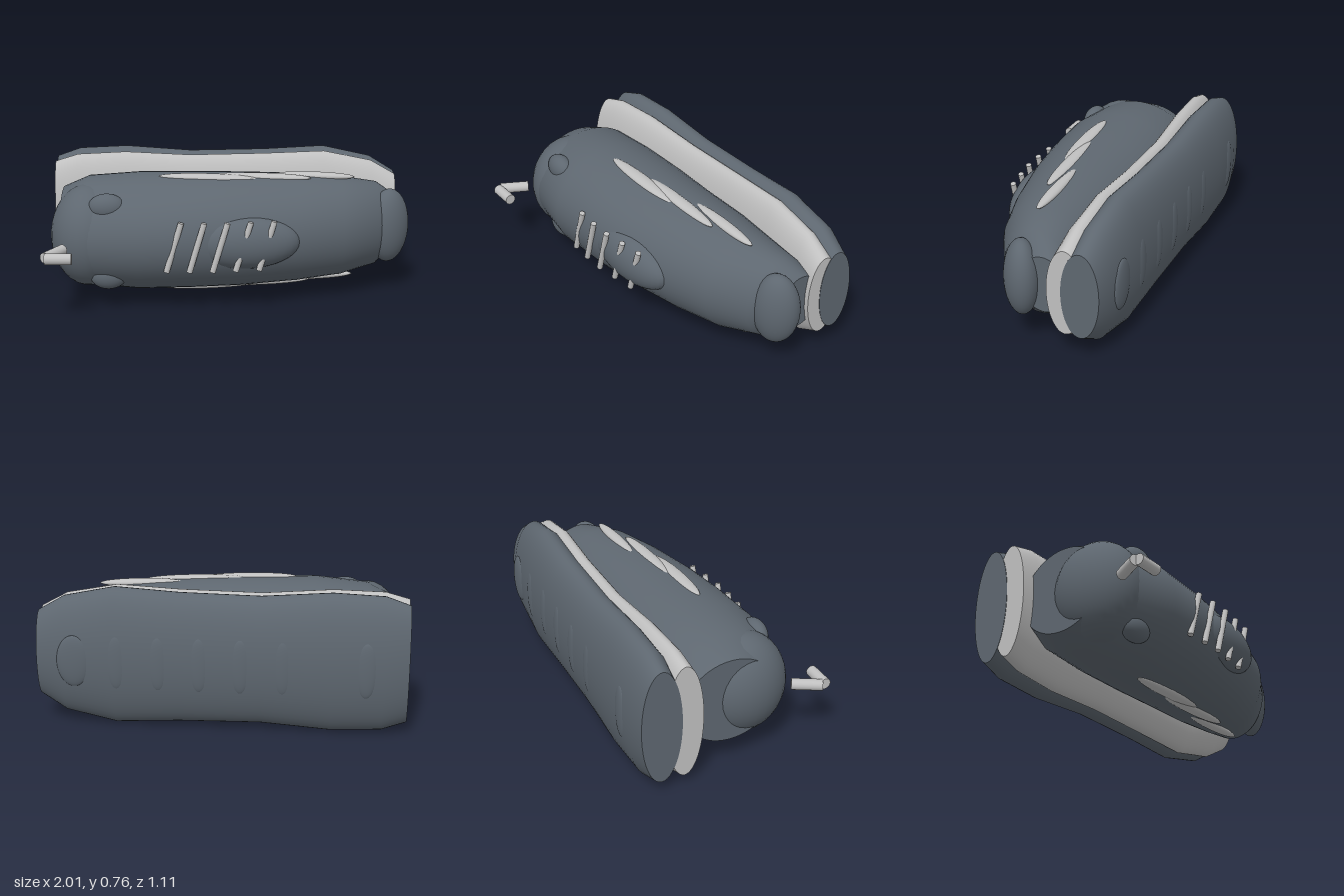
import * as THREE from 'three';

const dark = new THREE.MeshStandardMaterial({ color: 0x5e6770 });
dark.name = 'slate';
const light = new THREE.MeshStandardMaterial({ color: 0xc0c0c0 });
light.name = 'paleGrey';

const MID = 0.38; // the shoe is symmetric about y = MID

// Elliptical loft along x; each section is [x, centre z, radius y, radius z]
function loft(sections, sides = 48) {
  const pos = [], idx = [];
  const ring = ([x, cz, ry, rz]) => {
    const start = pos.length / 3;
    for (let j = 0; j < sides; j++) {
      const a = (j / sides) * Math.PI * 2;
      pos.push(x, MID + ry * Math.cos(a), cz + rz * Math.sin(a));
    }
    return start;
  };
  sections.forEach(ring);
  for (let i = 0; i < sections.length - 1; i++) {
    for (let j = 0; j < sides; j++) {
      const k = (j + 1) % sides, a = i * sides, b = a + sides;
      idx.push(a + j, a + k, b + j, a + k, b + k, b + j);
    }
  }
  // flat end caps on their own vertices
  [sections[0], sections[sections.length - 1]].forEach((s, end) => {
    const start = ring(s), centre = pos.length / 3;
    pos.push(s[0], MID, s[1]);
    for (let j = 0; j < sides; j++) {
      const a = start + j, b = start + ((j + 1) % sides);
      if (end) idx.push(centre, a, b);
      else idx.push(centre, b, a);
    }
  });
  const g = new THREE.BufferGeometry();
  g.setAttribute('position', new THREE.Float32BufferAttribute(pos, 3));
  g.setIndex(idx);
  g.computeVertexNormals();
  return g;
}

export function createModel() {
  const model = new THREE.Group();
  model.name = 'shoe';

  const add = (name, geometry, material) => {
    const mesh = new THREE.Mesh(geometry, material);
    mesh.name = name;
    model.add(mesh);
    return mesh;
  };
  const ellipsoid = (name, material, [x, y, z], [rx, ry, rz], tilt = 0) => {
    const mesh = add(name, new THREE.SphereGeometry(1, 32, 20), material);
    mesh.position.set(x, y, z);
    mesh.scale.set(rx, ry, rz);
    mesh.rotation.y = tilt;
    return mesh;
  };
  const rod = (name, material, from, to, radius) => {
    const a = new THREE.Vector3(...from), b = new THREE.Vector3(...to);
    const dir = b.clone().sub(a);
    const mesh = add(name, new THREE.CylinderGeometry(radius, radius, dir.length(), 16), material);
    mesh.position.copy(a).add(b).multiplyScalar(0.5);
    mesh.quaternion.setFromUnitVectors(new THREE.Vector3(0, 1, 0), dir.normalize());
    return mesh;
  };

  // Sole layers
  add('outsole', loft([
    [-1, -0.415, 0.32, 0.11], [-0.87, -0.417, 0.366, 0.133], [-0.6, -0.42, 0.378, 0.138],
    [-0.23, -0.422, 0.35, 0.133], [0.2, -0.422, 0.358, 0.133], [0.54, -0.418, 0.378, 0.137],
    [0.81, -0.412, 0.32, 0.13], [0.95, -0.4, 0.235, 0.104],
  ]), dark);
  add('midsole', loft([
    [-0.998, -0.29, 0.317, 0.1], [-0.87, -0.3, 0.355, 0.104], [-0.6, -0.316, 0.365, 0.106],
    [-0.23, -0.335, 0.342, 0.1], [0.2, -0.34, 0.35, 0.1], [0.54, -0.333, 0.365, 0.103],
    [0.81, -0.326, 0.312, 0.103], [0.948, -0.317, 0.234, 0.1],
  ]), light);

  // Upper body
  add('upper', loft([
    [-0.92, 0, 0.235, 0.26], [-0.78, 0.02, 0.298, 0.345], [-0.5, 0.03, 0.32, 0.375],
    [-0.2, 0.018, 0.318, 0.367], [0.05, 0.005, 0.314, 0.345], [0.37, -0.03, 0.3, 0.31],
    [0.62, -0.06, 0.277, 0.26], [0.82, -0.115, 0.235, 0.2], [0.92, -0.185, 0.155, 0.125],
  ]), dark);
  ellipsoid('heelCounter', dark, [-0.775, MID, 0.125], [0.205, 0.28, 0.245]);
  ellipsoid('toeCap', dark, [0.888, MID, -0.052], [0.128, 0.21, 0.093], 0.61);
  ellipsoid('tongue', dark, [0.075, MID, 0.28], [0.3, 0.145, 0.11], 0.06);

  // Mirrored ankle pads and side stripes
  for (const side of [1, -1]) {
    ellipsoid('anklePad', dark, [-0.66, MID + side * 0.19, 0.265], [0.1, 0.075, 0.06]);
    [
      [-0.12, 0.306, 0.072, 0.27, 0.04],
      [0.17, 0.3, 0.03, 0.275, 0.037],
      [0.46, 0.29, -0.037, 0.23, 0.033],
    ].forEach(([x, dy, z, rx, rz]) => {
      ellipsoid('sideStripe', light, [x, MID + side * dy, z], [rx, 0.022, rz], 0.02)
        .rotation.z = -side * 0.035;
    });
  }

  // Slanted laces, the last ones sunk into the tongue
  [[-0.3, 0.38], [-0.178, 0.385], [-0.055, 0.383], [0.068, 0.366], [0.193, 0.348]]
    .forEach(([x, z]) =>
      rod('lace', light, [x - 0.04, MID - 0.135, z], [x + 0.04, MID + 0.135, z], 0.016));

  // Loose lace end beside the heel
  rod('laceEnd', light, [-0.965, 0.363, 0.505], [-0.89, 0.363, 0.362], 0.03);
  rod('laceTip', light, [-0.963, 0.363, 0.522], [-0.823, 0.363, 0.522], 0.03);

  // Tread pads under the sole
  [-0.78, -0.35, -0.13, 0.085, 0.3, 0.52].forEach((x) =>
    ellipsoid('treadPad', dark, [x, MID, -0.538], [0.06, 0.15, 0.021]));
  ellipsoid('toeTreadPad', dark, [0.745, MID, -0.533], [0.09, 0.14, 0.025]);

  return model;
}
